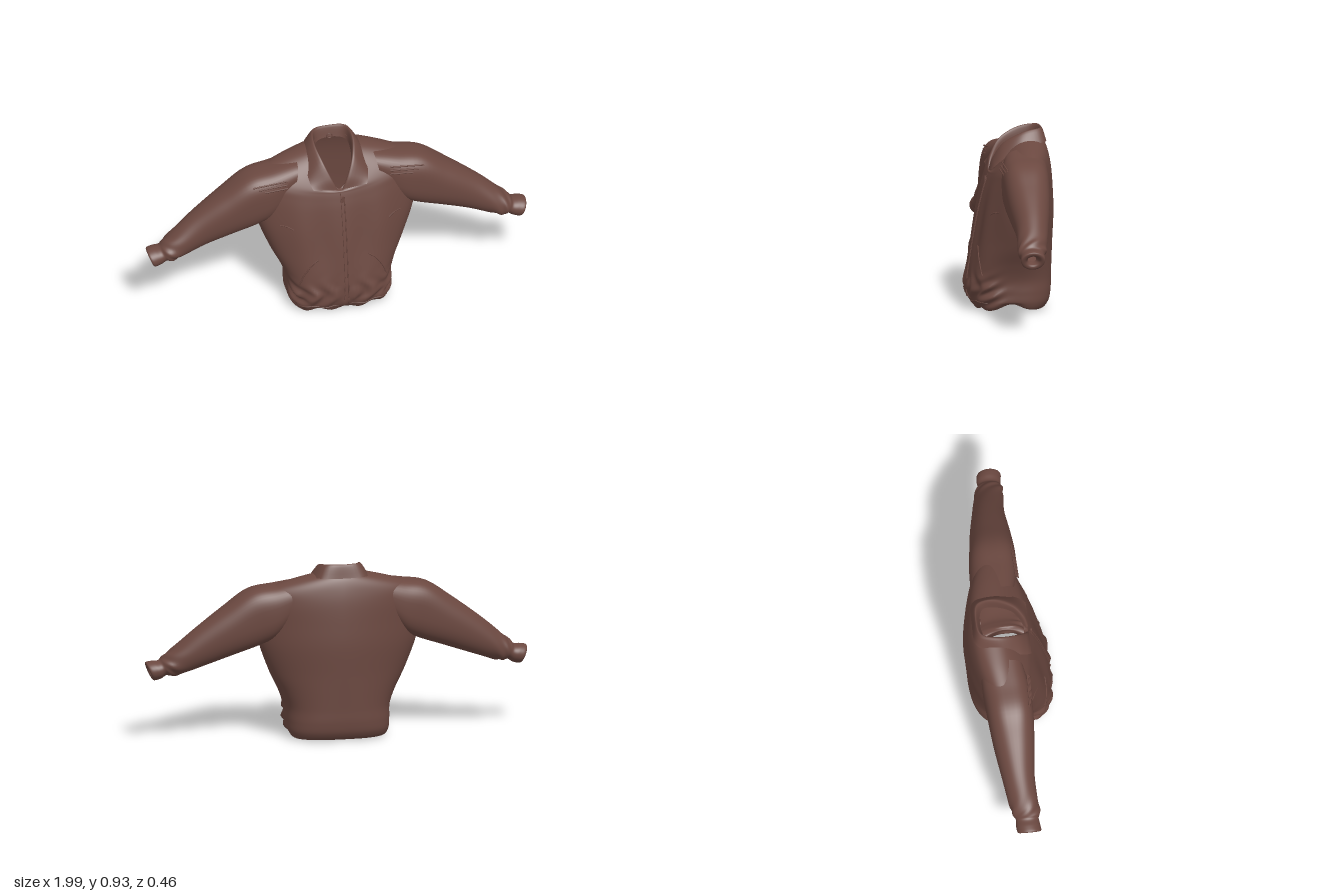
import * as THREE from 'three';

const cloth = new THREE.MeshStandardMaterial({ color: 0x6b4840, side: THREE.DoubleSide });
cloth.name = 'brown cloth';

// Catmull-Rom blend through rows of numbers, v in 0..1
function sample(rows, v) {
  const last = rows.length - 1;
  const f = Math.min(Math.max(v, 0), 1) * last;
  const i = Math.min(Math.floor(f), last - 1), t = f - i;
  const row = k => rows[Math.min(Math.max(k, 0), last)];
  return rows[0].map((_, c) => {
    const [p, a, b, q] = [row(i - 1)[c], row(i)[c], row(i + 1)[c], row(i + 2)[c]];
    return a + 0.5 * t * (b - p + t * (2 * p - 5 * a + 4 * b - q + t * (3 * (a - b) + q - p)));
  });
}

// Surface from point(u, v); closed joins the last column to the first
function loft(name, point, nu, nv, closed) {
  const pos = [], index = [], cols = closed ? nu : nu + 1;
  for (let j = 0; j <= nv; j++)
    for (let i = 0; i < cols; i++) pos.push(...point(i / nu, j / nv));
  for (let j = 0; j < nv; j++)
    for (let i = 0; i < nu; i++) {
      const k = (i + 1) % cols;
      const a = j * cols + i, b = j * cols + k, c = a + cols, d = b + cols;
      index.push(a, c, b, b, c, d);
    }
  const g = new THREE.BufferGeometry();
  g.setAttribute('position', new THREE.Float32BufferAttribute(pos, 3));
  g.setIndex(index);
  g.computeVertexNormals();
  const mesh = new THREE.Mesh(g, cloth);
  mesh.name = name;
  return mesh;
}

const power = (c, e) => Math.sign(c) * Math.abs(c) ** e;
const bump = (x, centre, width) => Math.exp(-(((x - centre) / width) ** 2));

// Body rings: back y, front y, half width, front z, back z, side z, back and front squareness
const BODY = [
  [0.05, 0.06, 0.225, 0.12, -0.13, 0.0, 2.6, 3],
  [0.01, 0.012, 0.25, 0.165, -0.165, 0.0, 2.8, 3.2],
  [0.045, 0.045, 0.265, 0.2, -0.198, 0.0, 2.8, 3.4],
  [0.10, 0.10, 0.268, 0.215, -0.21, 0.0, 2.7, 3.4],
  [0.17, 0.17, 0.272, 0.212, -0.213, 0.0, 2.5, 3.3],
  [0.25, 0.25, 0.302, 0.20, -0.217, -0.01, 2.2, 2.9],
  [0.35, 0.35, 0.352, 0.182, -0.222, -0.02, 1.9, 2.5],
  [0.50, 0.50, 0.408, 0.154, -0.229, -0.03, 1.75, 2.3],
  [0.62, 0.60, 0.425, 0.132, -0.225, -0.035, 1.7, 2.2],
  [0.72, 0.66, 0.43, 0.115, -0.217, -0.04, 1.7, 2.1],
  [0.79, 0.69, 0.41, 0.105, -0.205, -0.04, 1.7, 2],
  [0.845, 0.70, 0.27, 0.10, -0.188, -0.04, 1.9, 2],
  [0.885, 0.705, 0.105, 0.083, -0.165, -0.035, 2.0, 1.7],
];
function body(angle, v) {
  const [yb, yf, hx, zf, zb, zc, nb, nf] = sample(BODY, v);
  const c = Math.cos(angle), s = Math.sin(angle), n = s > 0 ? nf : nb;
  let x = hx * power(c, 2 / n);
  let z = zc + (s > 0 ? zf - zc : zc - zb) * power(s, 2 / n);
  const t = (z - zb) / (zf - zb);
  let y = yb + (yf - yb) * Math.max(t, 0) ** 3.5;
  // Lifted hem at the sides, gathers at the front waist, soft chest folds
  y += 0.035 * bump(y, 0.01, 0.03) * bump(t, 0.55, 0.2);
  if (s > 0) {
    const fold = Math.sin(x * 62 + 1.6 * Math.sin(y * 38));
    z += s * (0.011 * bump(y, 0.11, 0.07) * fold
      + 0.006 * bump(y, 0.42, 0.2) * Math.cos(x * 30) * (1 - bump(y, 0.11, 0.12)));
    y += 0.01 * s * bump(y, 0.02, 0.025) * Math.sin(x * 45 + 1);
    // Bunched cloth at the sides of the waist
    x += Math.sign(c) * 0.012 * bump(t, 0.82, 0.14) * bump(y, 0.1, 0.07)
      * Math.min(1, Math.abs(x) * 6) * Math.sin(y * 100 + z * 50);
  }
  return [x, y, z];
}

// Point on the front of the body at a given x and y
function onFront(x, y) {
  let lo = 2 / 12, hi = 1, p;
  for (let k = 0; k < 30; k++) {
    const v = (lo + hi) / 2, [, , hx, , , , , n] = sample(BODY, v);
    p = body(Math.acos(power(Math.max(-0.98, Math.min(0.98, x / hx)), n / 2)), v);
    if (p[1] < y) lo = v; else hi = v;
  }
  return new THREE.Vector3(...p);
}

// Raised seam laid along front points
function seam(name, pts, radius = 0.003) {
  const path = new THREE.CatmullRomCurve3(pts.map(([x, y]) => new THREE.Vector3(x, y, 0)));
  const curve = new THREE.CatmullRomCurve3(path.getPoints(20).map(p => onFront(p.x, p.y)));
  const mesh = new THREE.Mesh(new THREE.TubeGeometry(curve, 40, radius, 6), cloth);
  mesh.name = name;
  return mesh;
}

// Sleeve rings from the shoulder yoke to the cuff lining:
// top x, top y, bottom x, bottom y, front z, back z, squareness
const SLEEVE = [
  [0.20, 0.838, 0.24, 0.66, 0.055, -0.165, 0.75],
  [0.33, 0.817, 0.33, 0.55, 0.08, -0.163, 0.72],
  [0.465, 0.792, 0.412, 0.505, 0.084, -0.152, 0.72],
  [0.60, 0.703, 0.55, 0.455, 0.075, -0.135, 0.85],
  [0.75, 0.59, 0.69, 0.405, 0.06, -0.108, 0.95],
  [0.86, 0.495, 0.81, 0.362, 0.066, -0.085, 1],
  [0.91, 0.452, 0.862, 0.35, 0.07, -0.07, 1],
  [0.93, 0.432, 0.892, 0.355, 0.06, -0.058, 1],
  [0.965, 0.43, 0.92, 0.338, 0.064, -0.06, 1],
  [0.995, 0.422, 0.957, 0.33, 0.066, -0.054, 1],
  [0.985, 0.402, 0.962, 0.352, 0.04, -0.03, 1],
  [0.94, 0.40, 0.925, 0.365, 0.028, -0.015, 1],
];
function sleeve(side) {
  return loft(side > 0 ? 'leftSleeve' : 'rightSleeve', (u, v) => {
    const [tx, ty, bx, by, zf, zb, e] = sample(SLEEVE, v);
    const a = u * Math.PI * 2;
    // Creases gather towards the cuff
    const r = 0.5 * (1 + 0.05 * bump(v, 0.51, 0.06) * Math.sin(5 * a + v * 50));
    const c = r * power(Math.cos(a), e), s = -side * r * power(Math.sin(a), e);
    return [side * ((tx + bx) / 2 + (tx - bx) * c), (ty + by) / 2 + (ty - by) * c, (zf + zb) / 2 + (zf - zb) * s];
  }, 48, 66, true);
}

// Collar stations: base point, fold point, outer edge point, front tip to centre back
const COLLAR = [
  [0.012, 0.695, 0.088, 0.022, 0.714, 0.106, 0.14, 0.728, 0.106],
  [0.04, 0.74, 0.07, 0.05, 0.78, 0.088, 0.15, 0.75, 0.085],
  [0.073, 0.80, 0.025, 0.084, 0.86, 0.035, 0.158, 0.787, 0.04],
  [0.09, 0.84, -0.06, 0.103, 0.913, -0.06, 0.155, 0.845, -0.055],
  [0.075, 0.862, -0.125, 0.083, 0.93, -0.148, 0.118, 0.862, -0.172],
  [0, 0.87, -0.145, 0, 0.93, -0.166, 0, 0.86, -0.186],
];
const mirrored = COLLAR.slice(0, -1).reverse().map(r => r.map((n, i) => (i % 3 ? n : -n)));
const COLLAR_LOOP = [...COLLAR, ...mirrored];
function collar() {
  return loft('collar', (u, v) => {
    const r = sample(COLLAR_LOOP, u);
    return sample([r.slice(0, 3), r.slice(3, 6), r.slice(6, 9)], v);
  }, 60, 12, false);
}

export function createModel() {
  const jacket = new THREE.Group();
  jacket.name = 'jacket';
  jacket.add(loft('body', (u, v) => body(u * Math.PI * 2, v), 120, 96, true), collar());

  // Front zip with its flap edge and pull
  jacket.add(seam('zip', [[0, 0.69], [0, 0.4], [0, 0.05]], 0.002));
  jacket.add(seam('zipFlap', [[0.018, 0.67], [0.018, 0.4], [0.018, 0.05]]));
  const pull = new THREE.Mesh(new THREE.BoxGeometry(0.012, 0.035, 0.008), cloth);
  pull.name = 'zipPull';
  pull.position.copy(onFront(0.008, 0.66)).add(new THREE.Vector3(0, 0, 0.005));
  jacket.add(pull);

  // Hanging loop inside the neck
  const loop = new THREE.Mesh(new THREE.TorusGeometry(0.014, 0.003, 6, 16), cloth);
  loop.name = 'hangingLoop';
  loop.position.set(0, 0.878, -0.143);
  jacket.add(loop);

  for (const side of [1, -1]) {
    const line = pts => pts.map(([x, y]) => [side * x, y]);
    jacket.add(sleeve(side));
    jacket.add(seam('pocket', line([[0.13, 0.335], [0.165, 0.31], [0.205, 0.25], [0.228, 0.19]]), 0.004));
    jacket.add(seam('hemSeam', line([[0.03, 0.05], [0.1, 0.045], [0.17, 0.055], [0.24, 0.05]])));
    jacket.add(seam('underarmCrease', line([[0.25, 0.51], [0.28, 0.525], [0.32, 0.53]])));

    // Pleats across the shoulder
    for (let k = 0; k < 3; k++) {
      const path = new THREE.LineCurve3(
        new THREE.Vector3(side * 0.27, 0.785 - k * 0.018, 0.07 + k * 0.006),
        new THREE.Vector3(side * (0.45 - k * 0.03), 0.765 - k * 0.014, 0.064 + k * 0.007));
      const pleat = new THREE.Mesh(new THREE.TubeGeometry(path, 4, 0.004, 6), cloth);
      pleat.name = 'shoulderPleat';
      jacket.add(pleat);
    }
  }
  return jacket;
}
